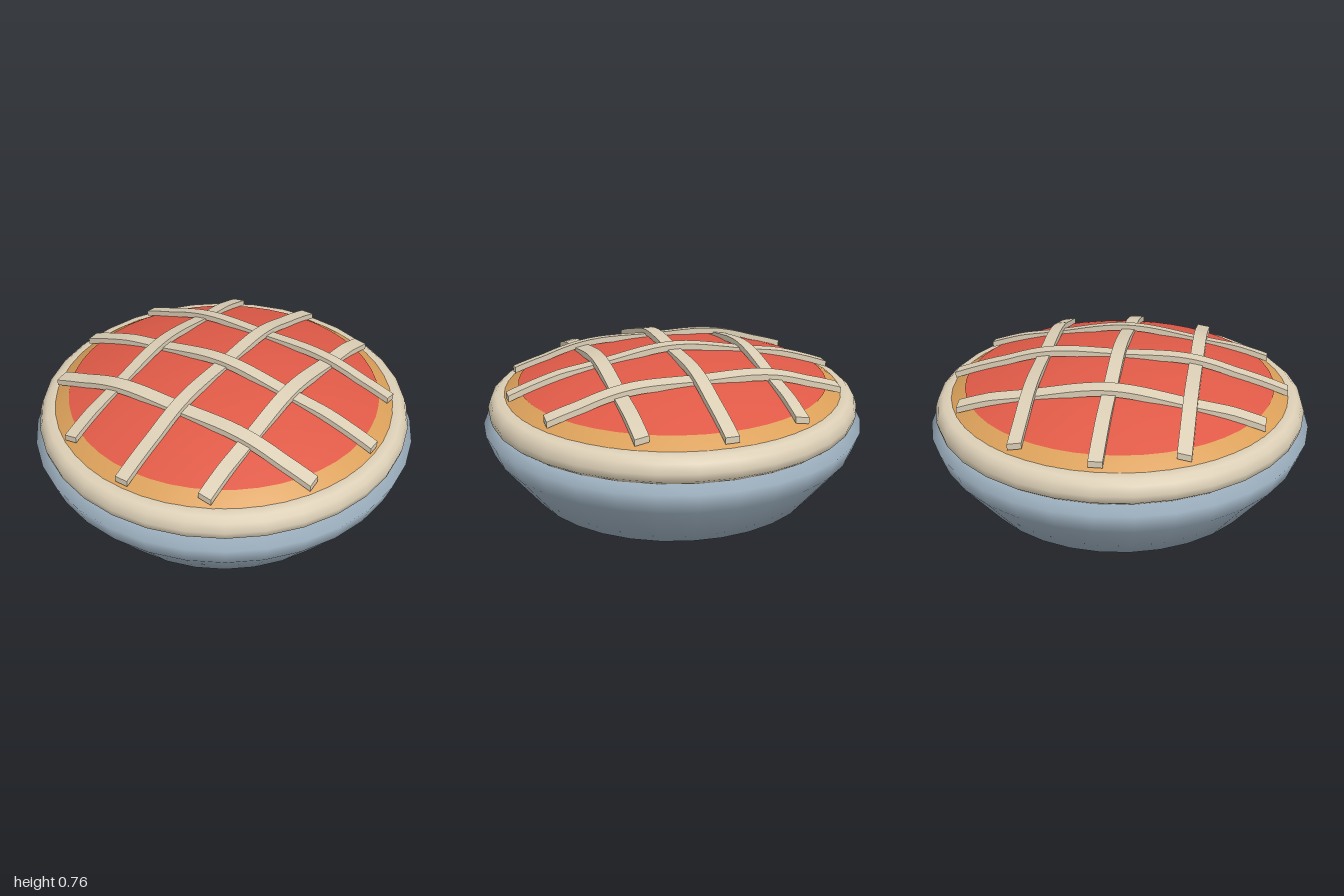
import * as THREE from 'three';

const material = (name, color) => {
  const m = new THREE.MeshStandardMaterial({ color });
  m.name = name;
  return m;
};

// Height of the domed filling at distance r from the centre
const domeHeight = (r) => 0.72 - 0.22 * r * r;

export function createModel() {
  const pie = new THREE.Group();
  pie.name = 'latticePie';

  const tin = material('blueGreyTin', 0x9db0bf);
  const dough = material('paleDough', 0xdccfb6);
  const baked = material('goldenCrust', 0xdba05a);
  const cherry = material('redFilling', 0xe05a47);

  const add = (name, geometry, mat) => {
    const mesh = new THREE.Mesh(geometry, mat);
    mesh.name = name;
    pie.add(mesh);
  };
  const turn = (name, profile, segments, mat) =>
    add(name, new THREE.LatheGeometry(profile.map(([x, y]) => new THREE.Vector2(x, y)), segments), mat);

  // Dish with sloping sides and a closed rim
  turn('dish', [[0, 0], [0.76, 0], [0.96, 0.25], [1, 0.36], [0.92, 0.385], [0.8, 0.385]], 32, tin);

  // Rounded rim of dough
  turn('crustRim', [[0.82, 0.38], [0.93, 0.385], [0.962, 0.41], [0.972, 0.45], [0.957, 0.495],
    [0.93, 0.518], [0.885, 0.526], [0.84, 0.51]], 32, dough);

  // Baked edge between rim and filling
  turn('bakedEdge', [[0.9, 0.515], [0.85, 0.549], [0.8, 0.578]], 48, baked);

  // Domed filling
  const dome = [];
  for (let i = 0; i <= 12; i++) {
    const r = 0.81 * (1 - i / 12);
    dome.push([r, domeHeight(r)]);
  }
  turn('filling', dome, 48, cherry);

  // Lattice strips: boxes draped over the dome, woven over and under
  const strip = (name, alongX, offset, halfLength, over) => {
    const g = new THREE.BoxGeometry(halfLength * 2, 0.032, 0.07, 40, 1, 1);
    const p = g.attributes.position;
    for (let i = 0; i < p.count; i++) {
      const s = p.getX(i);
      const across = p.getZ(i) + offset;
      const weave = over * 0.012 * Math.cos(Math.PI * Math.min(Math.abs(s), 0.6) / 0.4);
      p.setY(i, p.getY(i) + domeHeight(Math.hypot(s, across)) + 0.014 + weave);
      p.setZ(i, across);
    }
    if (!alongX) g.rotateY(Math.PI / 2);
    g.computeVertexNormals();
    add(name, g, dough);
  };
  for (const i of [-1, 0, 1]) {
    const half = i === 0 ? 0.88 : 0.77;
    const over = i === 0 ? 1 : -1;
    strip('crossStrip', true, i * 0.4, half, over);
    strip('lengthStrip', false, i * 0.4, half, -over);
  }

  return pie;
}
